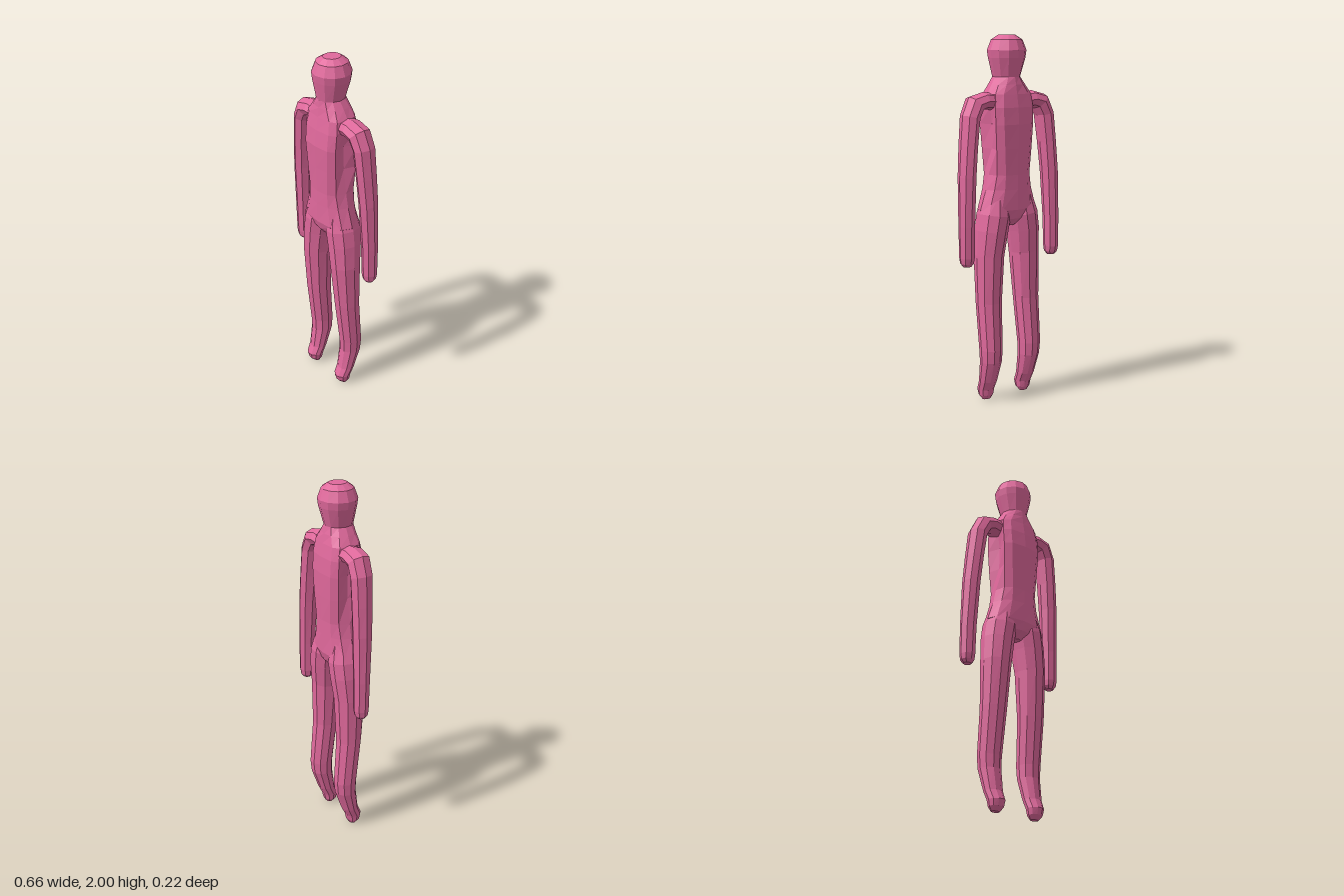
import * as THREE from 'three';

const material = new THREE.MeshStandardMaterial({ color: 0xe0699c, flatShading: true });

// Skin a tube through rings { x, y, z, a (half width), b (half depth), p (boxiness), notch }.
// Each ring is square to the path's direction in the x-y plane.
function loft(name, rings, sides, mirror = 1) {
  const loops = rings.map((r, i) => {
    const prev = rings[Math.max(i - 1, 0)], next = rings[Math.min(i + 1, rings.length - 1)];
    const d = new THREE.Vector2((next.x - prev.x) * mirror, next.y - prev.y).normalize();
    const loop = [];
    for (let j = 0; j < sides; j++) {
      const t = (j / sides) * Math.PI * 2;
      const c = Math.cos(t), s = Math.sin(t), p = r.p ?? 1;
      let w = r.a * Math.sign(c) * Math.abs(c) ** p;
      if (r.notch && Math.abs(s) < 0.1) w *= r.notch;
      const h = r.b * Math.sign(s) * Math.abs(s) ** p;
      loop.push([r.x * mirror - d.y * w, r.y + d.x * w, r.z + h]);
    }
    return loop;
  });
  const pos = [];
  const tri = (...pts) => pts.forEach((q) => pos.push(...q));
  const centre = (r) => [r.x * mirror, r.y, r.z];
  const first = centre(rings[0]), last = centre(rings[rings.length - 1]);
  for (let j = 0; j < sides; j++) {
    const k = (j + 1) % sides;
    for (let i = 0; i < loops.length - 1; i++) {
      const A = loops[i], B = loops[i + 1];
      tri(A[j], A[k], B[k]);
      tri(A[j], B[k], B[j]);
    }
    tri(first, loops[0][k], loops[0][j]);
    tri(last, loops[loops.length - 1][j], loops[loops.length - 1][k]);
  }
  const g = new THREE.BufferGeometry();
  g.setAttribute('position', new THREE.Float32BufferAttribute(pos, 3));
  g.computeVertexNormals();
  const mesh = new THREE.Mesh(g, material);
  mesh.name = name;
  return mesh;
}

const ring = ([x, y, z, a, b, p, notch]) => ({ x, y, z, a, b, p, notch });

// Head, neck and trunk, from the crown down to the crotch
const body = [
  [0, 2.0, 0, 0.045, 0.05],
  [0, 1.975, 0, 0.085, 0.085],
  [0, 1.92, 0, 0.107, 0.105],
  [0, 1.88, 0, 0.101, 0.1],
  [0, 1.78, 0.005, 0.074, 0.078],
  [0, 1.74, 0.002, 0.1, 0.084, 0.85],
  [0, 1.69, 0, 0.13, 0.092, 0.65],
  [0, 1.62, 0, 0.138, 0.104, 0.6, 0.8],
  [0, 1.53, 0.002, 0.136, 0.111, 0.6, 0.72],
  [0, 1.4, 0, 0.129, 0.106, 0.65, 0.78],
  [0, 1.26, 0, 0.122, 0.1, 0.75],
  [0, 1.18, 0, 0.14, 0.1, 0.85],
  [0, 1.07, 0, 0.177, 0.1, 0.85],
  [0, 1.02, 0, 0.13, 0.085],
  [0, 0.98, 0, 0.03, 0.05],
].map(ring);

// Shoulder to hand
const arm = [
  [0.09, 1.65, -0.005, 0.045, 0.06],
  [0.16, 1.657, -0.005, 0.046, 0.065],
  [0.215, 1.642, -0.006, 0.053, 0.066],
  [0.248, 1.575, -0.01, 0.049, 0.064],
  [0.265, 1.42, -0.015, 0.047, 0.06],
  [0.278, 1.26, -0.021, 0.047, 0.055],
  [0.287, 1.0, -0.028, 0.044, 0.046],
  [0.288, 0.83, -0.03, 0.042, 0.042],
  [0.288, 0.8, -0.03, 0.038, 0.036],
  [0.288, 0.782, -0.03, 0.023, 0.022],
].map(ring);

// Hip to toe
const leg = [
  [0.08, 1.16, -0.002, 0.06, 0.075],
  [0.092, 1.04, -0.004, 0.09, 0.1],
  [0.107, 0.95, -0.003, 0.088, 0.097],
  [0.12, 0.82, 0.002, 0.082, 0.087],
  [0.128, 0.56, -0.006, 0.072, 0.071],
  [0.132, 0.3, -0.031, 0.064, 0.065],
  [0.131, 0.23, -0.029, 0.061, 0.06],
  [0.13, 0.11, 0.0, 0.052, 0.047],
  [0.129, 0.06, 0.023, 0.048, 0.046],
  [0.129, 0.025, 0.022, 0.042, 0.037],
  [0.129, 0.002, 0.017, 0.025, 0.018],
].map(ring);

export function createModel() {
  const model = new THREE.Group();
  model.name = 'figure';
  model.add(loft('headAndTorso', body, 12));
  for (const [side, mirror] of [['left', 1], ['right', -1]]) {
    model.add(loft(side + 'Arm', arm, 8, mirror));
    model.add(loft(side + 'Leg', leg, 10, mirror));
  }
  return model;
}
